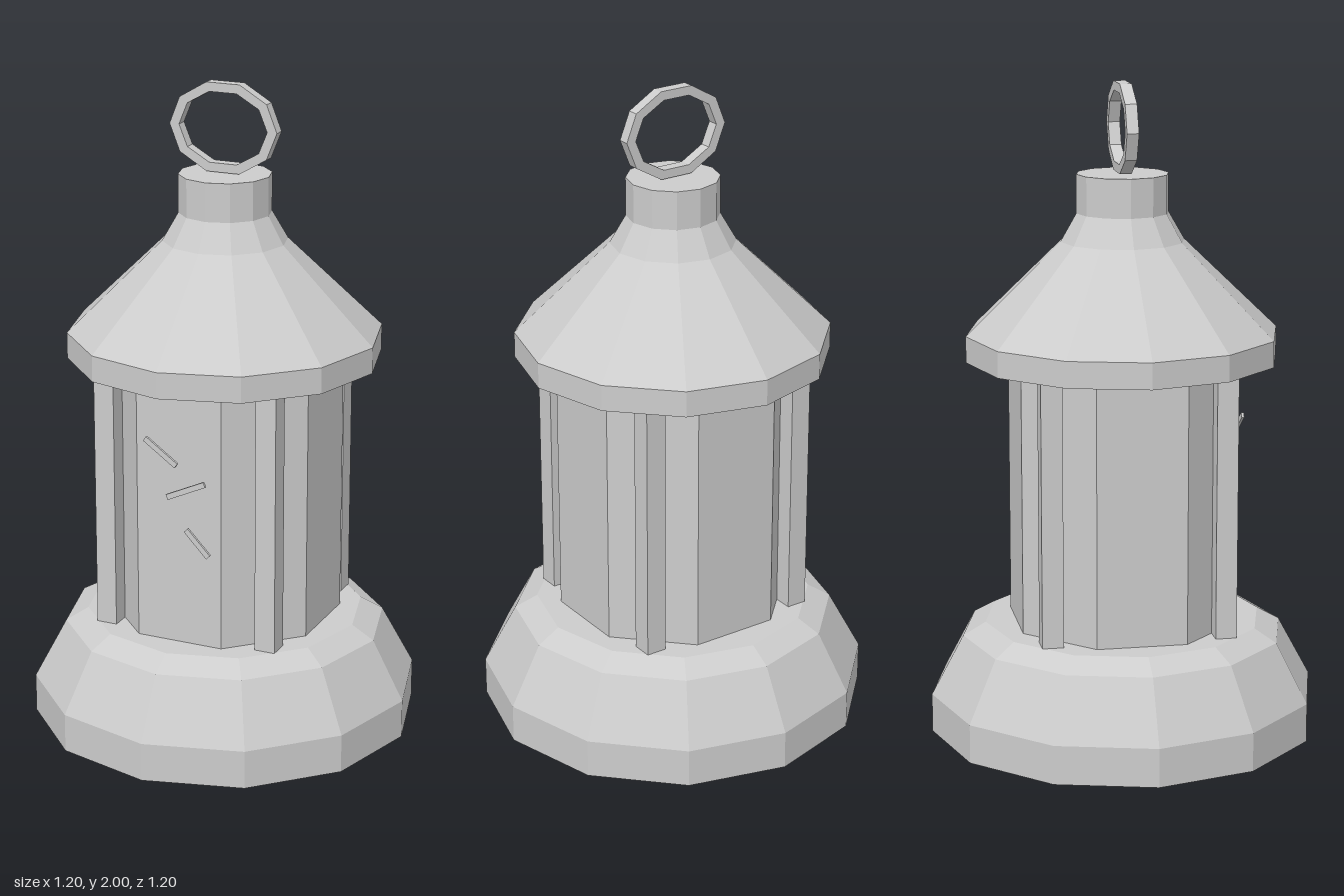
import * as THREE from 'three';

// Faceted shading baked into the normals
function faceted(geometry) {
  const g = geometry.index ? geometry.toNonIndexed() : geometry;
  g.computeVertexNormals();
  return g;
}

// Twelve-sided turned solid from [radius, height] pairs, bottom to top
function turned(profile) {
  const points = profile.map(([r, y]) => new THREE.Vector2(r, y));
  return new THREE.LatheGeometry(points, 12);
}

// Ten-sided oval outline
function oval(rx, ry) {
  return Array.from({ length: 10 }, (_, i) => {
    const a = (i / 10) * Math.PI * 2;
    return new THREE.Vector2(rx * Math.cos(a), ry * Math.sin(a));
  });
}

export function createModel() {
  const group = new THREE.Group();
  group.name = 'lantern';
  const grey = new THREE.MeshStandardMaterial({ color: 0xcccccc });
  grey.name = 'light grey';

  function add(name, geometry, x = 0, y = 0, z = 0) {
    const mesh = new THREE.Mesh(faceted(geometry), grey);
    mesh.name = name;
    mesh.position.set(x, y, z);
    group.add(mesh);
    return mesh;
  }

  // Stepped foot
  add('base', turned([[0, 0], [0.6, 0], [0.6, 0.12], [0.5, 0.305], [0.43, 0.345], [0, 0.345]]));

  // Eight-sided glass body with a flat face to the front
  const bottom = 0.345, top = 1.165, height = top - bottom, mid = (top + bottom) / 2;
  const body = new THREE.CylinderGeometry(0.36, 0.36, height, 8);
  body.rotateY(Math.PI / 8);
  add('glassBody', body, 0, mid, 0);

  // Corner posts
  for (const sx of [-1, 1]) {
    for (const sz of [-1, 1]) {
      add('cornerPost', new THREE.BoxGeometry(0.065, height, 0.065), sx * 0.265, mid, sz * 0.265);
    }
  }

  // Roof with rim, slope and neck
  add('roof', turned([
    [0, 1.165], [0.48, 1.165], [0.48, 1.245], [0.19, 1.525], [0.141, 1.61], [0.141, 1.728], [0, 1.728],
  ]));

  // Flat oval carrying ring
  const ringShape = new THREE.Shape(oval(0.174, 0.141));
  ringShape.holes.push(new THREE.Path(oval(0.143, 0.112).reverse()));
  const ring = new THREE.ExtrudeGeometry(ringShape, { depth: 0.036, bevelEnabled: false });
  ring.translate(0, 0, -0.018);
  add('carryRing', ring, 0, 1.866, 0);

  // Scratches just in front of the front pane: [x, y, length, degrees]
  const scratches = [[-0.048, 0.955, 0.125, -35], [0.034, 0.845, 0.135, 25], [0.071, 0.683, 0.105, -46]];
  for (const [x, y, length, degrees] of scratches) {
    const scratch = add('scratch', new THREE.BoxGeometry(length, 0.017, 0.008), x, y, 0.355);
    scratch.rotation.z = THREE.MathUtils.degToRad(degrees);
  }

  return group;
}
